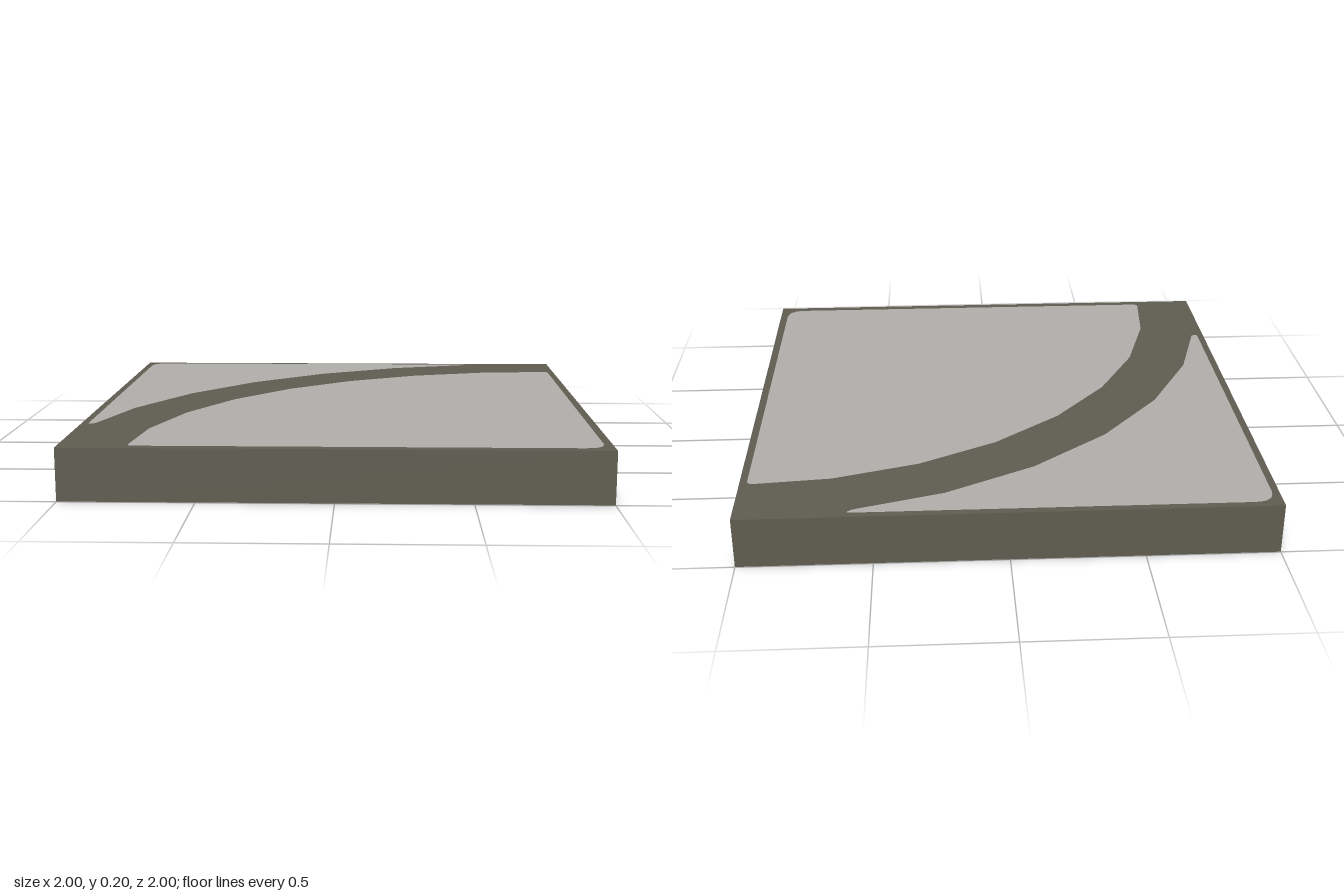
import * as THREE from 'three';

// Closed outline from [x, z, cornerRadius] points; radius 0 keeps a sharp corner
function outline(points) {
  const shape = new THREE.Shape();
  const n = points.length;
  const vec = (p) => new THREE.Vector2(p[0], -p[1]);
  points.forEach((p, i) => {
    const c = vec(p);
    const r = p[2] || 0;
    const toward = (q) => c.clone().add(vec(q).sub(c).setLength(r));
    const a = r ? toward(points[(i + n - 1) % n]) : c;
    if (i === 0) shape.moveTo(a.x, a.y);
    else shape.lineTo(a.x, a.y);
    if (r) {
      const b = toward(points[(i + 1) % n]);
      shape.quadraticCurveTo(c.x, c.y, b.x, b.y);
    }
  });
  shape.closePath();
  return shape;
}

// Point on a curve centred on the front left corner of the tile
function arcPoint(radius, step, corner = 0) {
  const a = (step * Math.PI) / 16;
  return [1 - radius * Math.cos(a), 1 - radius * Math.sin(a), corner];
}

export function createModel() {
  const group = new THREE.Group();
  const stone = new THREE.MeshStandardMaterial({ color: 0x5f5c50 });
  stone.name = 'darkStone';
  const paving = new THREE.MeshStandardMaterial({ color: 0xb0aeaa });
  paving.name = 'paleGrey';

  const add = (name, geometry, material) => {
    const mesh = new THREE.Mesh(geometry, material);
    mesh.name = name;
    group.add(mesh);
    return mesh;
  };
  const H = 0.2, T = 0.002, E = 0.972;

  // Square slab
  add('slab', new THREE.BoxGeometry(2, H - 2 * T, 2), stone).position.y = H / 2;

  // Flat inlays; the dark curved band is left between the two upper ones
  const inlay = (name, points, top) => {
    const g = new THREE.ShapeGeometry(outline(points), 6);
    g.rotateX(top ? -Math.PI / 2 : Math.PI / 2);
    add(name, g, paving).position.y = top ? H : 0;
  };

  const outer = [];
  for (let i = 3; i <= 6; i++) outer.push(arcPoint(2, i));
  outer.unshift(arcPoint(2, 2));
  inlay('outerInlay', [
    [-E, -E, 0.08],
    [-E, 0.58, 0.025], [-0.945, 0.56],
    ...outer,
    [0.57, -0.95], [0.6, -E, 0.025],
  ], true);

  const inner = [];
  for (let i = 1; i <= 7; i++) inner.push(arcPoint(1.753, i));
  inlay('innerInlay', [
    [E - 0.004, E - 0.008, 0.08],
    [-0.748, E - 0.008, 0.025],
    ...inner,
    [E, -0.748, 0.025],
  ], true);

  // Underside inlay
  inlay('undersideInlay', [
    [-E, -E, 0.08], [-E, E, 0.08], [E, E, 0.08], [E, -E, 0.08],
  ], false);

  // Thin dark faces closing the slab to its full height
  const cap = new THREE.BoxGeometry(2, T / 2, 2);
  add('topRim', cap, stone).position.y = H - T * 0.75;
  add('bottomRim', cap, stone).position.y = T * 0.75;
  return group;
}
